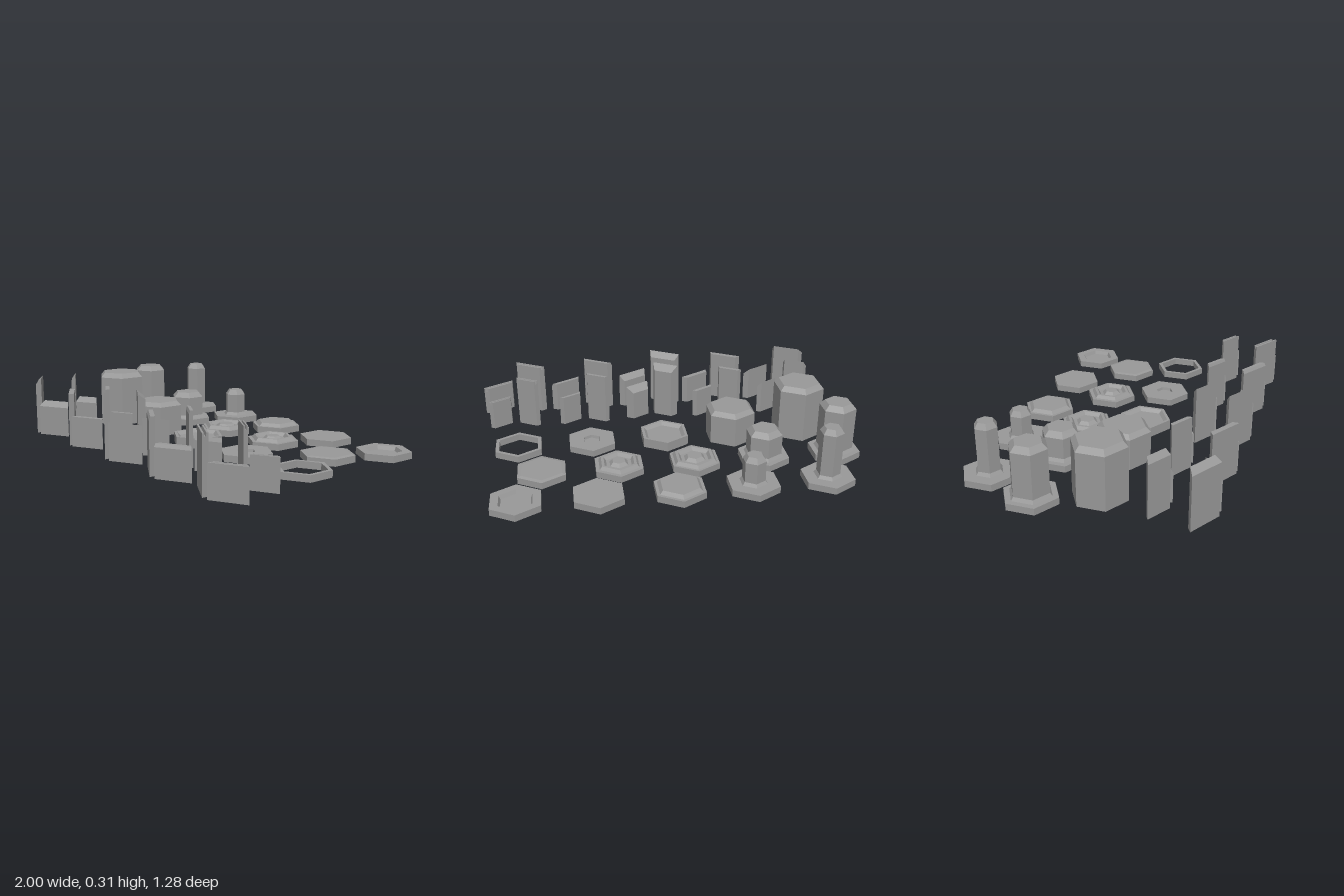
import * as THREE from 'three';

export function createModel() {
  const model = new THREE.Group();
  const grey = new THREE.MeshStandardMaterial({ color: 0x999999 });
  grey.name = 'stoneGrey';
  grey.flatShading = true;

  function add(name, geometry) {
    const flat = geometry.index ? geometry.toNonIndexed() : geometry;
    flat.computeVertexNormals();
    const mesh = new THREE.Mesh(flat, grey);
    mesh.name = name;
    model.add(mesh);
    return mesh;
  }

  // Hexagonal tile: a stepped profile [radius, height] turned in six sides
  const R = 0.14, H = 0.035;
  function tile(name, x, z, top, height = H) {
    const profile = [[0, 0], [R, 0], [R, height], ...top];
    const points = profile.map(([r, y]) => new THREE.Vector2(r, y));
    add(name, new THREE.LatheGeometry(points, 6)).position.set(x, 0, z);
  }

  // Column with a flared foot and a chamfered cap, standing on a plate
  const column = (r, cap, h) => [
    [r + 0.012, H], [r, 0.052], [r, h - 0.028], [cap, h], [0, h],
  ];

  // Towers, tall and short, in three widths
  tile('wideTallTower', -0.755, 0.077, [[0.115, 0.305], [0, 0.305]], 0.278);
  tile('wideShortTower', -0.37, 0.065, [[0.115, 0.185], [0, 0.185]], 0.162);
  tile('mediumTallTower', -0.88, -0.214, column(0.097, 0.07, 0.305));
  tile('mediumShortTower', -0.49, -0.226, column(0.097, 0.07, 0.187));
  tile('slimTallTower', -0.757, -0.487, column(0.061, 0.042, 0.305));
  tile('slimShortTower', -0.37, -0.5, column(0.061, 0.042, 0.187));

  // Low stepped tiles
  tile('raisedTile', 0, -0.5, [[0.123, H], [0.105, 0.052], [0, 0.052]]);
  tile('basinTile', 0, 0.063, [[R, 0.052], [0.123, 0.052], [0.105, H], [0, H]]);
  const rings = (a, b, c) => [
    [a, H], [a - 0.014, 0.052], [b + 0.014, 0.052], [b, H],
    [c, H], [c - 0.018, 0.052], [0, 0.052],
  ];
  tile('wideRingTile', -0.12, -0.228, rings(0.125, 0.08, 0.06));
  tile('narrowRingTile', 0.277, -0.228, rings(0.118, 0.074, 0.054));

  // Flat and recessed tiles
  tile('flatTile', 0.4, -0.5, [[0, H]]);
  tile('insetTile', 0.673, -0.234, [[0.118, H + 0.004], [0, H + 0.004]]);
  tile('bowlTile', 0.797, -0.506, [[0.094, H], [0.084, 0.015], [0, 0.015]]);
  tile('holeTile', 0.4, 0.06, [[0.048, H], [0.045, 0.02], [0, 0.02]]);
  const ring = [[0.119, 0], [R, 0], [R, H], [0.119, H], [0.119, 0]];
  add('openRing', new THREE.LatheGeometry(ring.map(([r, y]) => new THREE.Vector2(r, y)), 6))
    .position.set(0.795, 0, 0.052);

  // Wall: one mitred side of a hexagon; top is [depth 0 outer to 1 inner, height]
  function wall(name, x, z, outer, inner, side, top) {
    const shape = new THREE.Shape();
    shape.moveTo(0, 0);
    shape.lineTo(1, 0);
    [...top].reverse().forEach(([t, y]) => shape.lineTo(t, y));
    shape.closePath();
    const geometry = new THREE.ExtrudeGeometry(shape, { depth: 1, bevelEnabled: false, steps: 1 });
    const p = geometry.attributes.position;
    for (let i = 0; i < p.count; i++) {
      const r = outer + (inner - outer) * p.getX(i);
      const u = side > 0 ? p.getZ(i) : 1 - p.getZ(i);
      p.setXYZ(i, x + side * u * r * 0.866, p.getY(i), z - outer + r * (1 - u / 2));
    }
    add(name, geometry);
  }

  // Wall tops: outward slope, flat, inward slope, chamfered edge, grooved
  const tops = [
    (h) => [[0, h], [1, h + 0.03]],
    (h) => [[0, h], [1, h]],
    (h) => [[0, h + 0.033], [1, h]],
    (h) => [[0, h - 0.012], [0.25, h + 0.004], [1, h + 0.004]],
    (h) => [[0, h], [0.3, h], [0.4, h - 0.018], [0.6, h - 0.018], [0.7, h], [1, h]],
  ];
  const styles = ['sloped', 'flat', 'leaning', 'chamfered', 'grooved'];

  // Inner ends of each wall pair: [left plate x, right plate x]
  const frontX = [[-0.755, -0.716], [-0.364, -0.337], [0.005, 0.043], [0.406, 0.444], [0.802, 0.837]];
  const backX = [[-0.76, -0.711], [-0.37, -0.326], [0.01, 0.048], [0.4, 0.444], [0.797, 0.84]];
  styles.forEach((style, i) => {
    const thick = i === 2;
    [-1, 1].forEach((side, k) => {
      const top = tops[i](side < 0 ? 0.275 : 0.16);
      const size = side < 0 ? 'Tall' : 'Short';
      wall(`${style}${size}FrontWall`, frontX[i][k], 0.638, 0.185, 0.152, side, top);
      wall(`${style}${size}BackWall`, backX[i][k], thick ? 0.445 : 0.412,
        thick ? 0.15 : 0.137, thick ? 0.105 : 0.112, side, top);
    });
  });

  return model;
}
